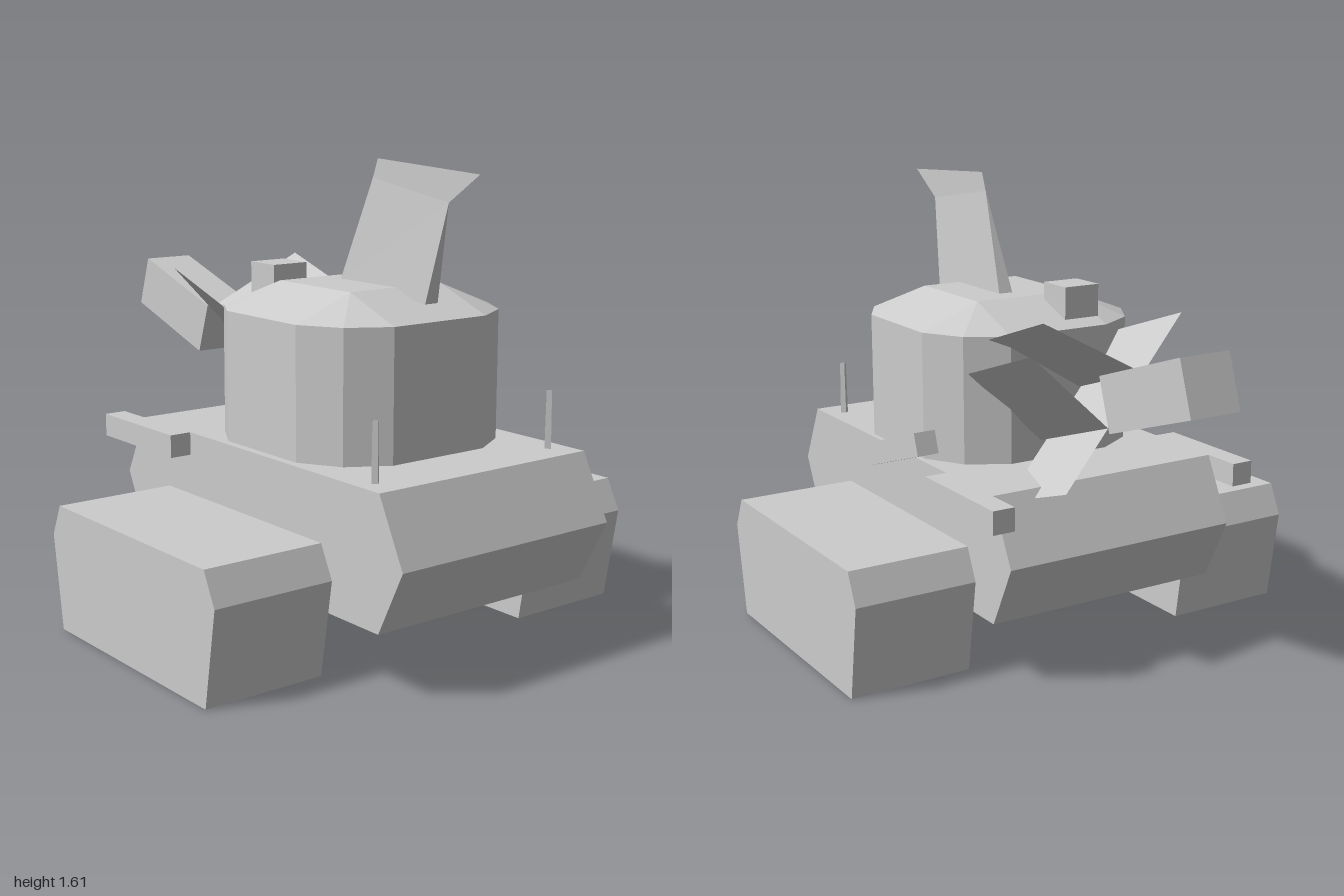
import * as THREE from 'three';

const mat = new THREE.MeshStandardMaterial({ color: 0xcccccc, flatShading: true });
const sheetMat = new THREE.MeshStandardMaterial({ color: 0xcccccc, flatShading: true, side: THREE.DoubleSide });

// Flat-shaded geometry from convex faces, each a list of [x, y, z] corners
function faces(list) {
  const pos = [];
  for (const f of list) {
    for (let i = 1; i < f.length - 1; i++) pos.push(...f[0], ...f[i], ...f[i + 1]);
  }
  const g = new THREE.BufferGeometry();
  g.setAttribute('position', new THREE.Float32BufferAttribute(pos, 3));
  g.computeVertexNormals();
  return g;
}

// Side profile in x, y extruded from z0 to z1
function prism(profile, z0, z1) {
  const shape = new THREE.Shape(profile.map(([x, y]) => new THREE.Vector2(x, y)));
  return new THREE.ExtrudeGeometry(shape, { depth: z1 - z0, bevelEnabled: false }).translate(0, 0, z0);
}

// Box given by its limits on each axis
function box(x0, x1, y0, y1, z0, z1) {
  return new THREE.BoxGeometry(x1 - x0, y1 - y0, z1 - z0)
    .translate((x0 + x1) / 2, (y0 + y1) / 2, (z0 + z1) / 2);
}

// Turret: twelve-sided wall with a roof sloping in to a flat rectangle
function turretGeometry() {
  const cx = 0.25, cz = -0.005, offsets = [0.22, 0.196, 0.22];
  const ring = [], roof = [];
  const signs = [[1, 1], [-1, 1], [-1, -1], [1, -1]];
  signs.forEach(([sx, sz], q) => {
    const x = cx + sx * 0.19, z = cz + sz * 0.195;
    offsets.forEach((r, k) => {
      const a = (q + k / 2) * Math.PI / 2;
      ring.push([x + r * Math.cos(a), z + r * Math.sin(a)]);
      roof.push([x, 1.19, z]);
    });
  });
  const at = (i, y) => [ring[i][0], y, ring[i][1]];
  const list = [[roof[9], roof[6], roof[3], roof[0]]];
  for (let i = 0; i < 12; i++) {
    const j = (i + 1) % 12;
    list.push([at(i, 0.66), at(i, 1.105), at(j, 1.105), at(j, 0.66)]);
    list.push([at(i, 1.105), roof[i], roof[j], at(j, 1.105)]);
  }
  return faces(list);
}

// Fin: wedge with a wide foot, closing to a thin plate at the top
function finGeometry() {
  const z = -0.03, w = 0.027;
  const a = [0.15, 1.19], b = [0.585, 1.15];
  const m = [0.285, 1.54, z], n = [0.66, 1.48, z];
  const aL = [...a, z + w], aR = [...a, z - w], bL = [...b, z + w], bR = [...b, z - w];
  return faces([
    [aL, bL, n, m], [bR, aR, m, n], [aR, aL, m], [bL, bR, n], [aL, aR, bR, bL],
    [m, n, [0.80, 1.575, z], [0.31, 1.605, z]],
  ]);
}

export function createModel() {
  const model = new THREE.Group();
  model.name = 'vehicle';
  const add = (name, geometry, parent = model, material = mat) => {
    const mesh = new THREE.Mesh(geometry, material);
    mesh.name = name;
    parent.add(mesh);
    return mesh;
  };

  // Hull with pointed ends
  add('hull', prism([[-0.435, 0.22], [0.89, 0.22], [1, 0.44], [0.89, 0.66], [-0.435, 0.66], [-0.545, 0.44]], -0.44, 0.44));

  // Tracks, side rails and rear posts on both sides
  const track = [[-0.27, 0], [0.61, 0], [0.665, 0.33], [0.61, 0.44], [-0.27, 0.44], [-0.32, 0.33]];
  for (const [side, s] of [['left', 1], ['right', -1]]) {
    const span = (a, b) => (s > 0 ? [a, b] : [-b, -a]);
    add(side + 'Track', prism(track, ...span(0.44, 0.88)));
    add(side + 'Rail', box(-0.57, -0.13, 0.58, 0.66, ...span(0.44, 0.52)));
    const post = new THREE.CylinderGeometry(0.012, 0.015, 0.195, 4, 1, true);
    add(side + 'Post', post.translate(0.79, 0.757, s * 0.373), model, sheetMat);
  }

  // Raised side gun
  const sideGun = add('sideGun', new THREE.BoxGeometry(0.44, 0.08, 0.08));
  sideGun.position.set(0.14, 0.685, -0.48);
  sideGun.rotation.z = -0.322;

  // Turret with hatch and fin
  add('turret', turretGeometry());
  add('hatch', box(-0.105, 0.03, 1.1, 1.24, 0.055, 0.193));
  add('fin', finGeometry(), model, sheetMat);

  // Main gun: barrel and thin crossing shield plates, pitched up together
  const gun = new THREE.Group();
  gun.name = 'mainGun';
  gun.rotation.z = -0.322;
  model.add(gun);
  add('barrel', box(-1.26, -0.82, 0.62, 0.81, -0.09, 0.1), gun);
  const plate = ([z0, y0], [z1, y1], end) => faces([
    [[-0.82, y0, z0], [end, y0, z0], [end, y1, z1], [-0.82, y1, z1]],
  ]);
  add('mainShieldPlate', plate([-0.29, 0.456], [0.28, 0.98], -0.438), gun, sheetMat);
  add('upperShieldPlate', plate([0.08, 0.8], [-0.265, 1.0], -0.438), gun, sheetMat);
  add('lowerShieldPlate', plate([-0.09, 0.638], [-0.33, 0.9], -0.4), gun, sheetMat);

  return model;
}
